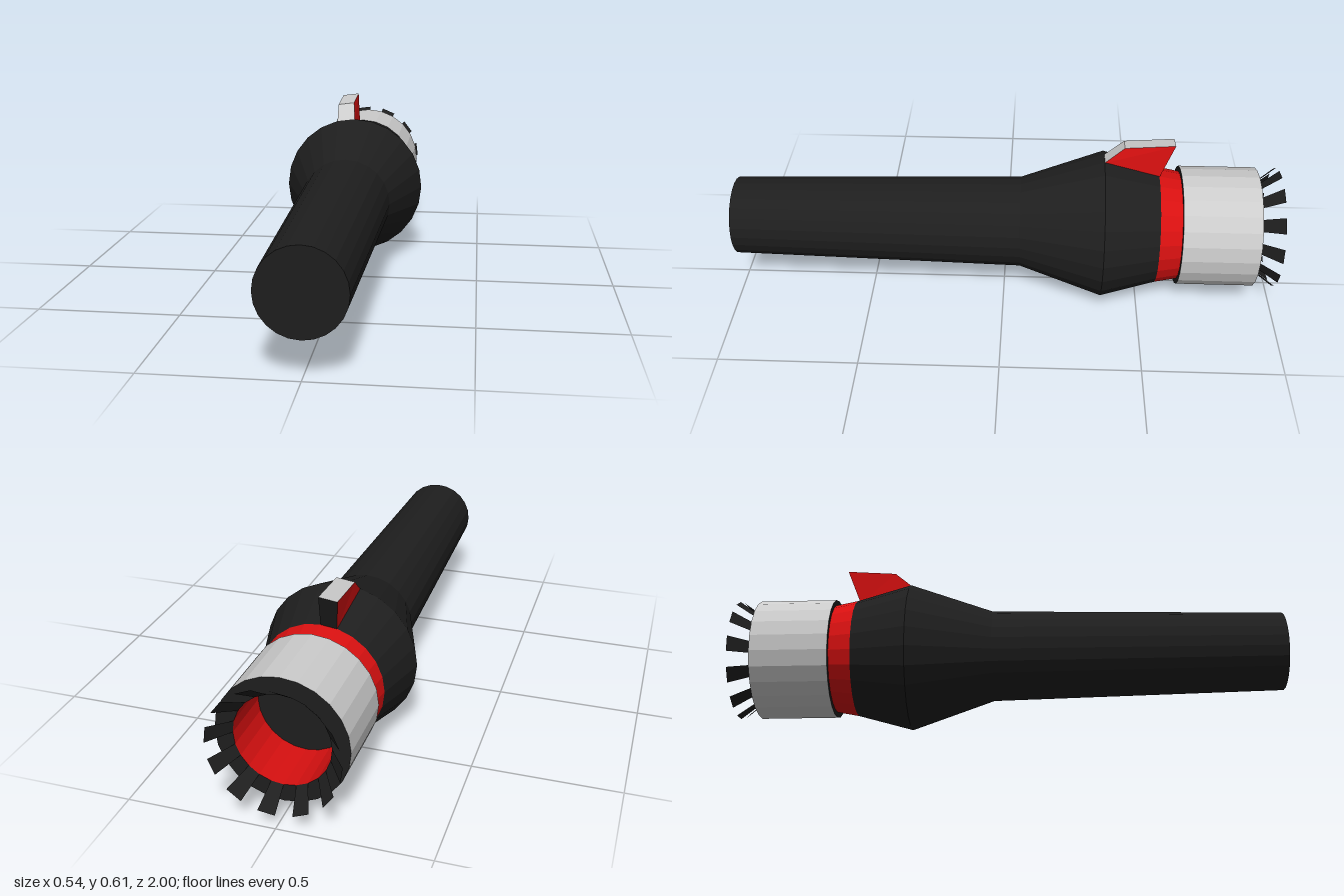
import * as THREE from 'three';

const SIDES = 24;
const AXIS_Y = 0.27;

export function createModel() {
  const model = new THREE.Group();
  model.name = 'flashlight';

  const paint = (color) => new THREE.MeshStandardMaterial({ color, flatShading: true });
  const black = paint(0x1e1e1e);
  const red = paint(0xd81010);
  const grey = paint(0xcccccc);
  const blackThin = paint(0x1e1e1e);
  blackThin.side = THREE.DoubleSide;

  // Everything round is turned about the z axis; profiles are [radius, z] pairs
  const barrel = new THREE.Group();
  barrel.name = 'barrel';
  barrel.position.y = AXIS_Y;
  barrel.rotation.x = Math.PI / 2;
  model.add(barrel);

  function turn(name, profile, material, sides = SIDES, start = 0, sweep = Math.PI * 2) {
    const points = profile.map(([r, z]) => new THREE.Vector2(r, z));
    const mesh = new THREE.Mesh(new THREE.LatheGeometry(points, sides, start, sweep), material);
    mesh.name = name;
    barrel.add(mesh);
  }

  // Handle and bulging body
  turn('body', [[0.215, -0.56], [0.27, -0.36], [0.167, -0.06], [0.143, 1], [0, 1]], black);
  turn('redBand', [[0.2, -0.64], [0.215, -0.56]], red);

  // Collar with dark end faces
  turn('collar', [[0.22, -0.92], [0.22, -0.64]], grey);
  turn('collarFrontFace', [[0.22, -0.64], [0.195, -0.64]], black);
  turn('collarRim', [[0.16, -0.92], [0.22, -0.92]], black);

  // Hollow end
  turn('bore', [[0.16, -0.72], [0.16, -0.92]], red);
  turn('boreFloor', [[0, -0.72], [0.16, -0.72]], black);

  // Flared teeth on every other side
  const step = (Math.PI * 2) / SIDES;
  for (let i = 0; i < SIDES; i += 2) {
    turn('tooth', [[0.22, -1], [0.16, -0.92]], blackThin, 1, i * step, step);
  }

  // Switch: a box whose corners are moved to a slanted, tapered wedge
  // corner key: front/back, top/bottom -> [half width, height above axis, z]
  const corners = {
    frontBottom: [0.035, 0.266, -0.36],
    frontTop: [0.032, 0.324, -0.43],
    backTop: [0.032, 0.336, -0.61],
    backBottom: [0.028, 0.21, -0.56],
  };
  const wedge = new THREE.BoxGeometry(2, 2, 2);
  const pos = wedge.attributes.position;
  for (let i = 0; i < pos.count; i++) {
    const key = (pos.getZ(i) > 0 ? 'front' : 'back') + (pos.getY(i) > 0 ? 'Top' : 'Bottom');
    const [halfWidth, y, z] = corners[key];
    pos.setXYZ(i, pos.getX(i) * halfWidth, y, z);
  }
  wedge.computeVertexNormals();
  const button = new THREE.Mesh(wedge, [red, red, grey, black, grey, black]);
  button.name = 'switch';
  button.position.y = AXIS_Y;
  button.rotation.z = step / 2;
  model.add(button);

  return model;
}
